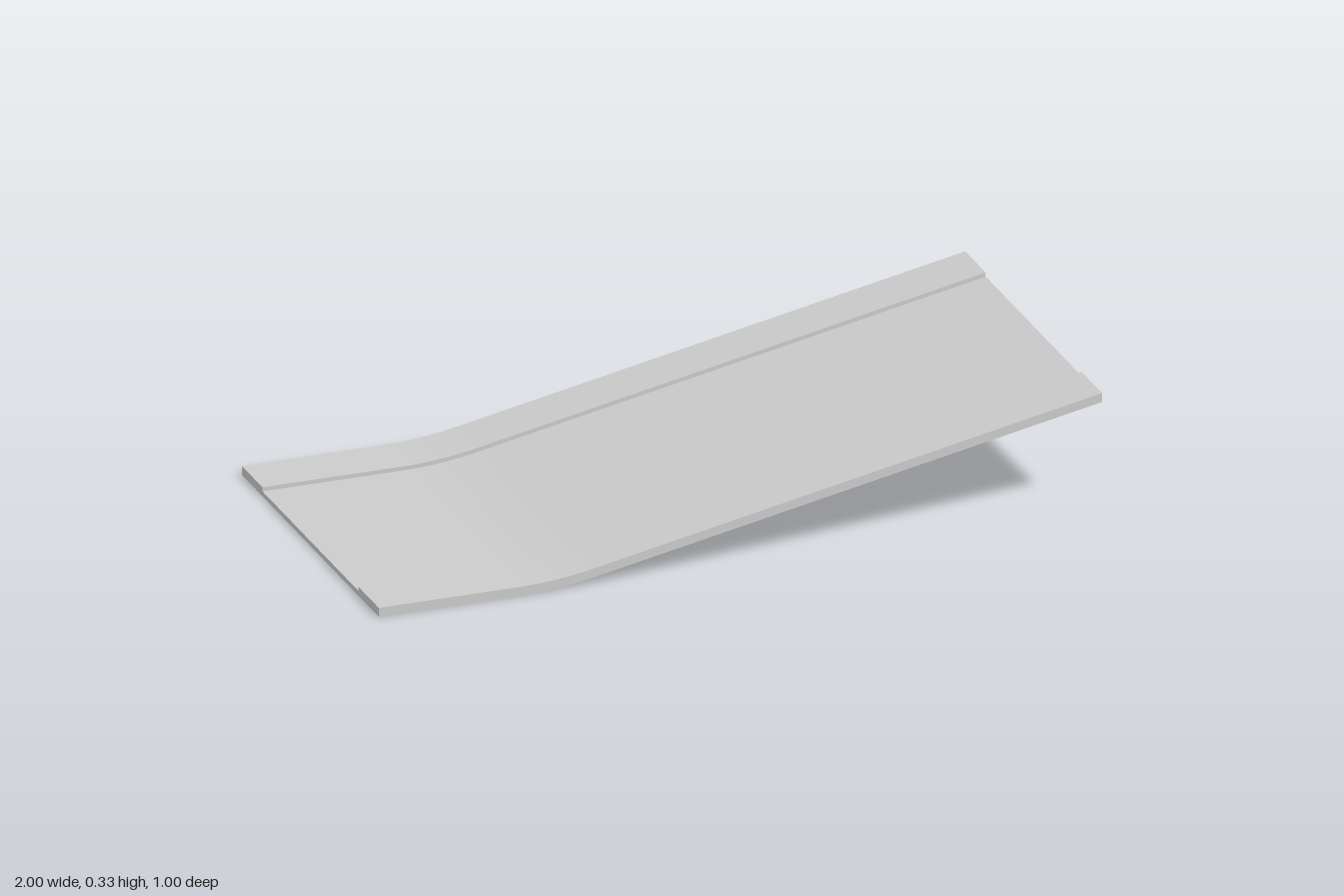
import * as THREE from 'three';
import { toCreasedNormals } from 'three/addons/utils/BufferGeometryUtils.js';

const LENGTH = 2, HALF_WIDTH = 0.5, INNER = 0.35;
const DECK = 0.0135, EDGE = 0.025; // thickness of the deck and of its raised edges
const BEND_START = -0.62, BEND_END = -0.4, SLOPE = 0.2;

// Height of the underside: flat, then a smooth bend, then a straight incline
function rise(x) {
  if (x <= BEND_START) return 0;
  const span = BEND_END - BEND_START;
  if (x < BEND_END) return SLOPE * (x - BEND_START) ** 2 / (2 * span);
  return SLOPE * (span / 2 + x - BEND_END);
}

export function createModel() {
  const group = new THREE.Group();
  group.name = 'ramp';

  // Cross-section: thin deck with a raised strip along each side
  const section = new THREE.Shape([
    [-HALF_WIDTH, 0], [HALF_WIDTH, 0], [HALF_WIDTH, EDGE], [INNER, EDGE],
    [INNER, DECK], [-INNER, DECK], [-INNER, EDGE], [-HALF_WIDTH, EDGE],
  ].map(([u, v]) => new THREE.Vector2(u, v)));

  // Run the section along x, then lift it along the bend
  const geometry = new THREE.ExtrudeGeometry(section, { depth: LENGTH, steps: 100, bevelEnabled: false });
  geometry.rotateY(Math.PI / 2).translate(-LENGTH / 2, 0, 0);
  const pos = geometry.attributes.position;
  for (let i = 0; i < pos.count; i++) pos.setY(i, pos.getY(i) + rise(pos.getX(i)));

  const deck = new THREE.Mesh(
    toCreasedNormals(geometry, Math.PI / 6),
    new THREE.MeshStandardMaterial({ color: 0xcccccc }),
  );
  deck.name = 'rampDeck';
  group.add(deck);
  return group;
}
